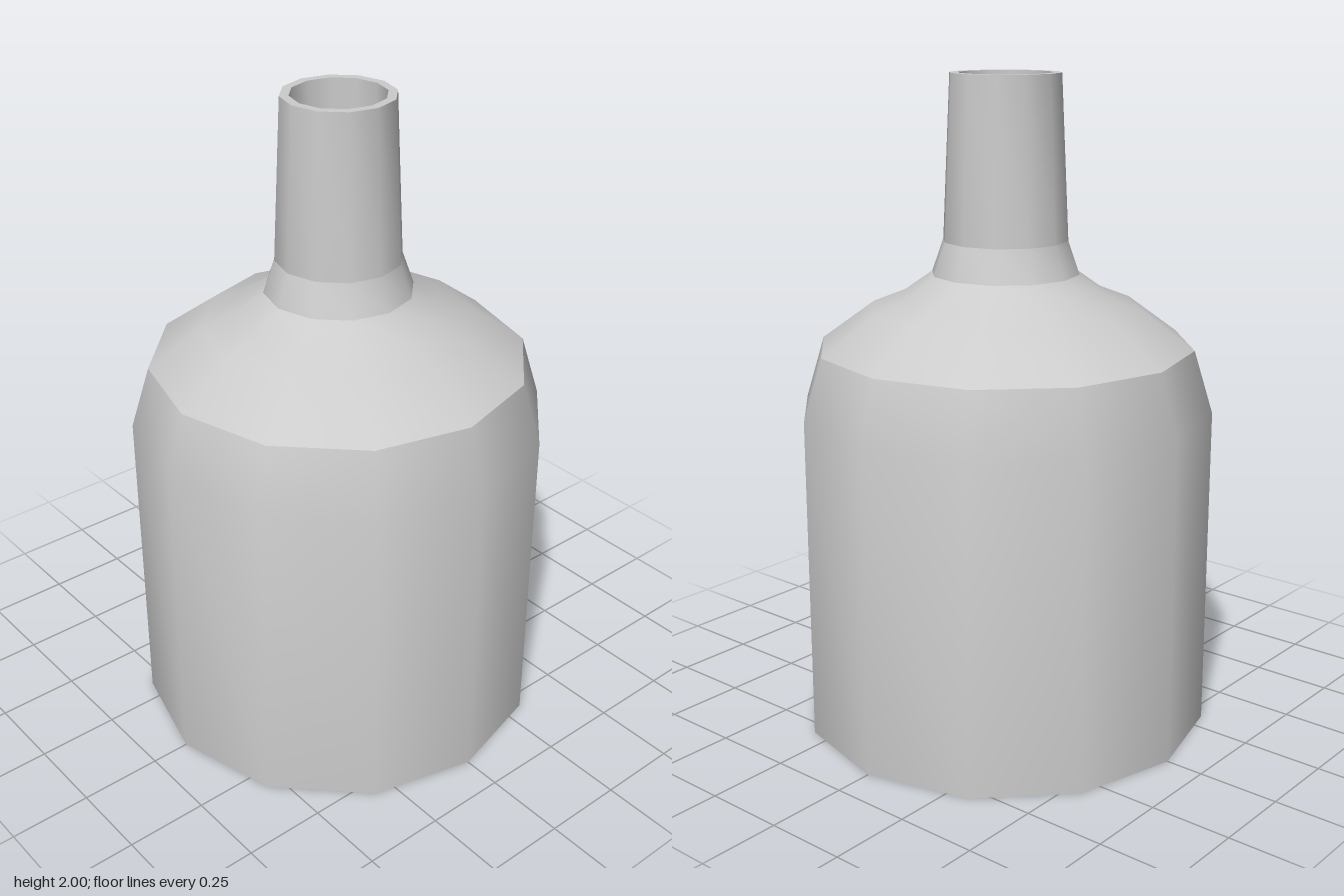
import * as THREE from 'three';
import { toCreasedNormals } from 'three/addons/utils/BufferGeometryUtils.js';

const SIDES = 12;

export function createModel() {
  const model = new THREE.Group();
  model.name = 'bottle';
  const material = new THREE.MeshStandardMaterial({ color: 0xcccccc });

  // Revolve a [radius, height] profile, smooth except at sharp edges
  const addTurned = (name, profile) => {
    const points = profile.map(([r, y]) => new THREE.Vector2(r, y));
    const lathe = new THREE.LatheGeometry(points, SIDES);
    const mesh = new THREE.Mesh(toCreasedNormals(lathe, THREE.MathUtils.degToRad(35)), material);
    mesh.name = name;
    model.add(mesh);
  };

  // Flat base, straight wall and rounded upper edge
  addTurned('body', [[0, 0], [0.632, 0], [0.632, 1.0], [0.574, 1.19]]);

  // Sloping shoulder flaring up into the neck
  addTurned('shoulder', [[0.574, 1.19], [0.41, 1.31], [0.31, 1.35], [0.225, 1.41], [0.19, 1.51]]);

  // Tapered neck, rim, and the bore with its floor
  addTurned('neck', [[0.19, 1.51], [0.167, 2.0], [0.14, 2.0], [0.14, 1.51], [0, 1.51]]);

  return model;
}
